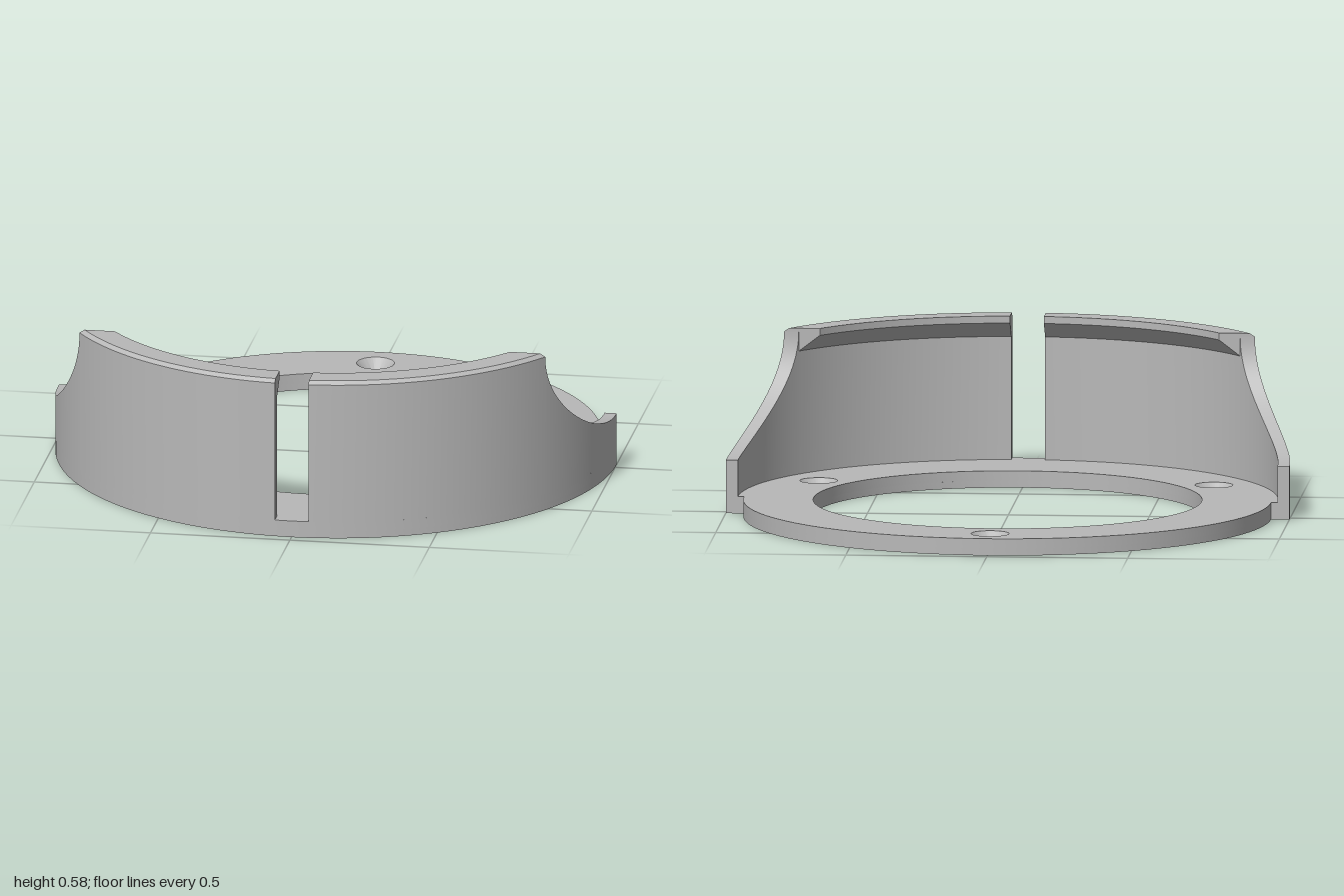
import * as THREE from 'three';
import { toCreasedNormals } from 'three/addons/utils/BufferGeometryUtils.js';

const BASE = 0.06;       // thickness of the base ring
const CUT = 0.55;        // depth at which the full-height wall begins
const SLOT = 0.06;       // half width of the front slot
const HOLES = [[0, 0.81], [0.701, -0.405], [-0.701, -0.405]];

// Base ring layer: wider front half, narrower back half, three screw holes
function ringLayer(y0, y1, holeTop, holeBottom) {
  const shape = new THREE.Shape();
  shape.moveTo(-1, 0);
  shape.absarc(0, 0, 1, Math.PI, 2 * Math.PI, false);
  shape.lineTo(0.935, 0);
  shape.absarc(0, 0, 0.935, 0, Math.PI, false);
  shape.closePath();
  const addHole = (x, y, r) => {
    const h = new THREE.Path();
    h.absarc(x, y, r, 0, 2 * Math.PI, true);
    shape.holes.push(h);
  };
  addHole(0, 0, 0.688);
  HOLES.forEach(([x, y]) => addHole(x, y, holeTop));
  const geo = new THREE.ExtrudeGeometry(shape, { depth: y1 - y0, bevelEnabled: false, curveSegments: 64 });
  // Narrow the lower rim of each screw hole into a countersink
  const p = geo.attributes.position;
  for (let i = 0; i < p.count; i++) {
    if (p.getZ(i) > 1e-5) continue;
    for (const [x, y] of HOLES) {
      const dx = p.getX(i) - x, dy = p.getY(i) - y;
      if (Math.hypot(dx, dy) < holeTop + 0.002) {
        const k = holeBottom / holeTop;
        p.setXY(i, x + dx * k, y + dy * k);
        break;
      }
    }
  }
  geo.rotateX(-Math.PI / 2);
  geo.translate(0, y0, 0);
  return toCreasedNormals(geo, 0.5);
}

// Solid through stations of [radius, height, angle] sections, closed by end caps
function loft(stations, side, capEnd) {
  const pos = [];
  const point = ([r, y, a]) => [side * r * Math.cos(a), y, r * Math.sin(a)];
  const tri = (a, b, c) => {
    const order = side > 0 ? [a, b, c] : [a, c, b];
    order.forEach(v => pos.push(...point(v)));
  };
  const n = stations[0].length;
  for (let i = 0; i < stations.length - 1; i++) {
    const s = stations[i], t = stations[i + 1];
    for (let j = 0; j < n; j++) {
      const k = (j + 1) % n;
      tri(s[j], s[k], t[j]);
      tri(s[k], t[k], t[j]);
    }
  }
  const cap = (s, forward) => {
    const flat = s.map(([r, y]) => new THREE.Vector2(r, y));
    for (const [a, b, c] of THREE.ShapeUtils.triangulateShape(flat, [])) {
      const ccw = THREE.ShapeUtils.area([flat[a], flat[b], flat[c]]) > 0;
      if (ccw === forward) tri(s[a], s[b], s[c]);
      else tri(s[a], s[c], s[b]);
    }
  };
  cap(stations[0], false);
  if (capEnd) cap(stations[stations.length - 1], true);
  const geo = new THREE.BufferGeometry();
  geo.setAttribute('position', new THREE.Float32BufferAttribute(pos, 3));
  return toCreasedNormals(geo, 0.5);
}

// Sweeping end of the wall, its top following a quarter ellipse
function sweptWall(side) {
  const stations = [];
  for (let i = 0; i <= 32; i++) {
    const t = (i / 32) * Math.PI / 2;
    const depth = CUT * Math.sin(t);
    const top = 0.57 - 0.38 * Math.cos(t);
    stations.push([[1, BASE], [1, top], [0.957, top], [0.957, BASE]]
      .map(([r, y]) => [r, y, Math.asin(depth / r)]));
  }
  return loft(stations, side, false);
}

// Full-height wall with outer chamfer and inward lip, ending at the slot
function lippedWall(side) {
  const profile = [[1, BASE], [1, 0.57], [0.985, 0.582], [0.897, 0.582],
    [0.897, 0.557], [0.957, 0.5], [0.957, BASE]];
  const stations = [];
  for (let i = 0; i <= 32; i++) {
    stations.push(profile.map(([r, y]) => [r, y,
      THREE.MathUtils.lerp(Math.asin(CUT / r), Math.acos(SLOT / r), i / 32)]));
  }
  return loft(stations, side, true);
}

export function createModel() {
  const model = new THREE.Group();
  model.name = 'mountingRing';
  const grey = new THREE.MeshStandardMaterial({ color: 0xb8b8b8 });
  grey.name = 'grey';
  const add = (name, geo) => {
    const mesh = new THREE.Mesh(geo, grey);
    mesh.name = name;
    mesh.position.z = -0.035;
    model.add(mesh);
  };

  add('baseRingLower', ringLayer(0, 0.025, 0.035, 0.035));
  add('baseRingUpper', ringLayer(0.025, BASE, 0.067, 0.035));
  for (const [label, side] of [['left', 1], ['right', -1]]) {
    add(label + 'SweptWall', sweptWall(side));
    add(label + 'LippedWall', lippedWall(side));
  }
  return model;
}
